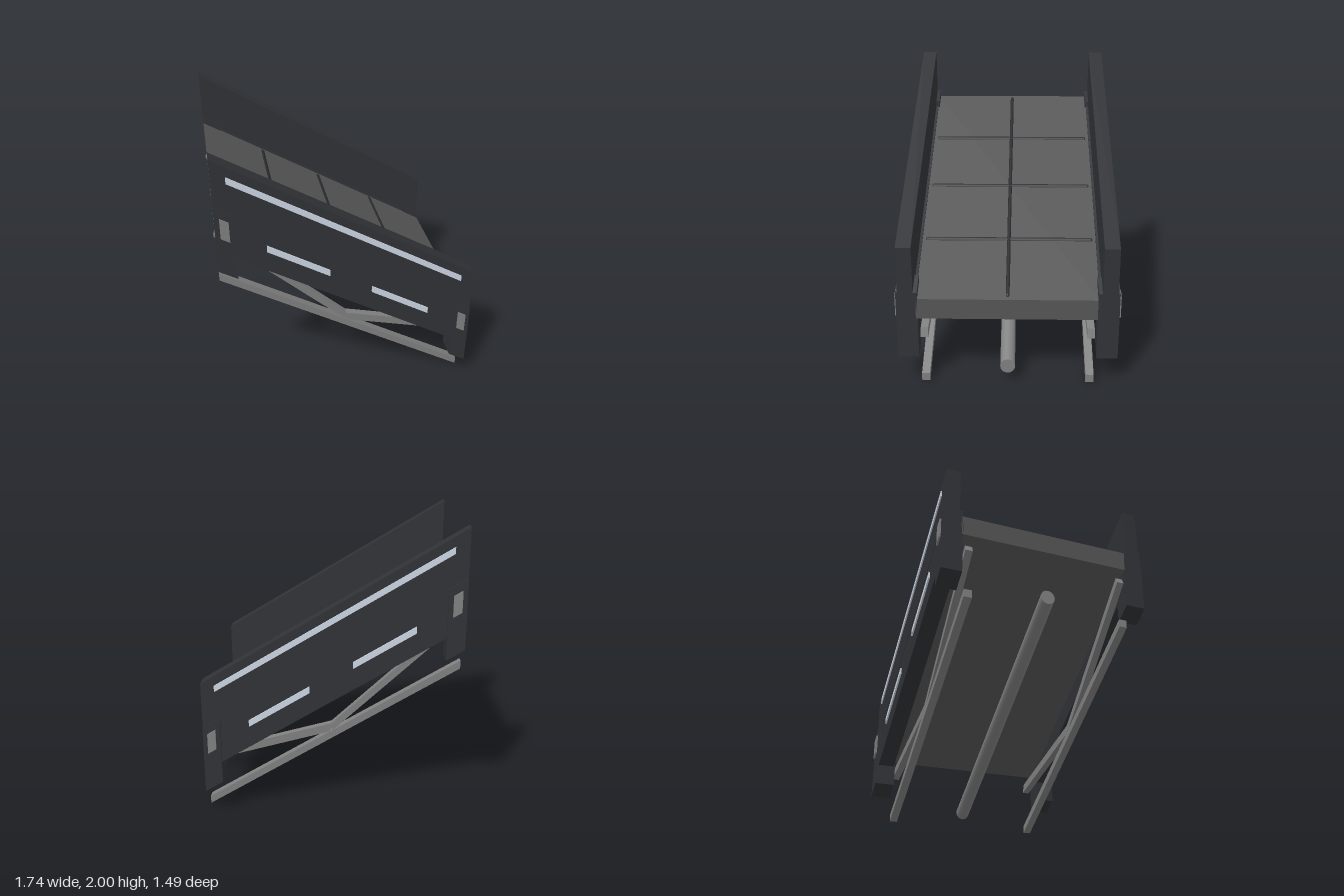
import * as THREE from 'three';

const SLOPE = 0.6;
const mat = (color) => new THREE.MeshStandardMaterial({ color });

export function createModel() {
  const model = new THREE.Group();
  const dark = mat(0x303236), deckMat = mat(0x555555), steel = mat(0x808080);
  const seamMat = mat(0x2a2b2e), lightMat = mat(0xccd6e4);

  // Everything is laid out level, then sheared down towards +x
  const shear = new THREE.Matrix4().set(
    1, 0, 0, 0,
    -SLOPE, 1, 0, 0,
    0, 0, 1, 0,
    0, 0, 0, 1);

  function add(name, geometry, material) {
    const mesh = new THREE.Mesh(geometry.applyMatrix4(shear), material);
    mesh.name = name;
    model.add(mesh);
  }

  function box(name, x0, x1, y0, y1, z0, z1, material) {
    const g = new THREE.BoxGeometry(x1 - x0, y1 - y0, Math.abs(z1 - z0));
    g.translate((x0 + x1) / 2, (y0 + y1) / 2, (z0 + z1) / 2);
    add(name, g, material);
  }

  // Deck with raised seams
  box('deck', -0.86, 0.86, 0.985, 1.125, -0.605, 0.605, deckMat);
  const seam = (length) => new THREE.CapsuleGeometry(0.0125, length - 0.025, 6, 12);
  add('longSeam', seam(1.68).rotateZ(Math.PI / 2).translate(0, 1.125, 0), seamMat);
  for (const x of [-0.43, 0, 0.43]) {
    add('crossSeam', seam(1.16).rotateX(Math.PI / 2).translate(x, 1.122, 0), seamMat);
  }

  for (const s of [1, -1]) {
    // Parapet wall and the girder below it
    box('wall', -0.86, 0.86, 1.135, 1.484, s * 0.62, s * 0.722, dark);
    box('girder', -0.86, 0.86, 0.845, 1.135, s * 0.602, s * 0.72, dark);

    // Light strips on the outer face
    box('longLight', -0.77, 0.77, 1.375, 1.418, s * 0.715, s * 0.731, lightMat);
    for (const x of [-0.345, 0.345]) {
      box('shortLight', x - 0.203, x + 0.203, 0.995, 1.04, s * 0.715, s * 0.731, lightMat);
    }

    // End posts with a small plate each
    for (const e of [1, -1]) {
      const cx = e * 0.8;
      box('post', cx - 0.06, cx + 0.06, 0.7, 1.17, s * 0.593, s * 0.735, dark);
      box('postPlate', cx - 0.028, cx + 0.028, 0.97, 1.11, s * 0.73, s * 0.747, steel);

      // Brace from the post to the middle of the lower rail
      const dx = 0.86, dy = 0.285;
      const brace = new THREE.BoxGeometry(Math.hypot(dx, dy), 0.056, 0.05);
      brace.rotateZ(e * Math.atan2(dy, dx)).translate(e * dx / 2, 0.6 + dy / 2, s * 0.552);
      add('brace', brace, steel);
    }

    // Lower rail
    box('lowerRail', -0.86, 0.86, 0.52, 0.575, s * 0.525, s * 0.58, steel);
  }

  // Pipe under the centre line
  const pipe = new THREE.CylinderGeometry(0.05, 0.05, 1.72, 20);
  add('pipe', pipe.rotateZ(Math.PI / 2).translate(0, 0.635, 0), steel);

  return model;
}
